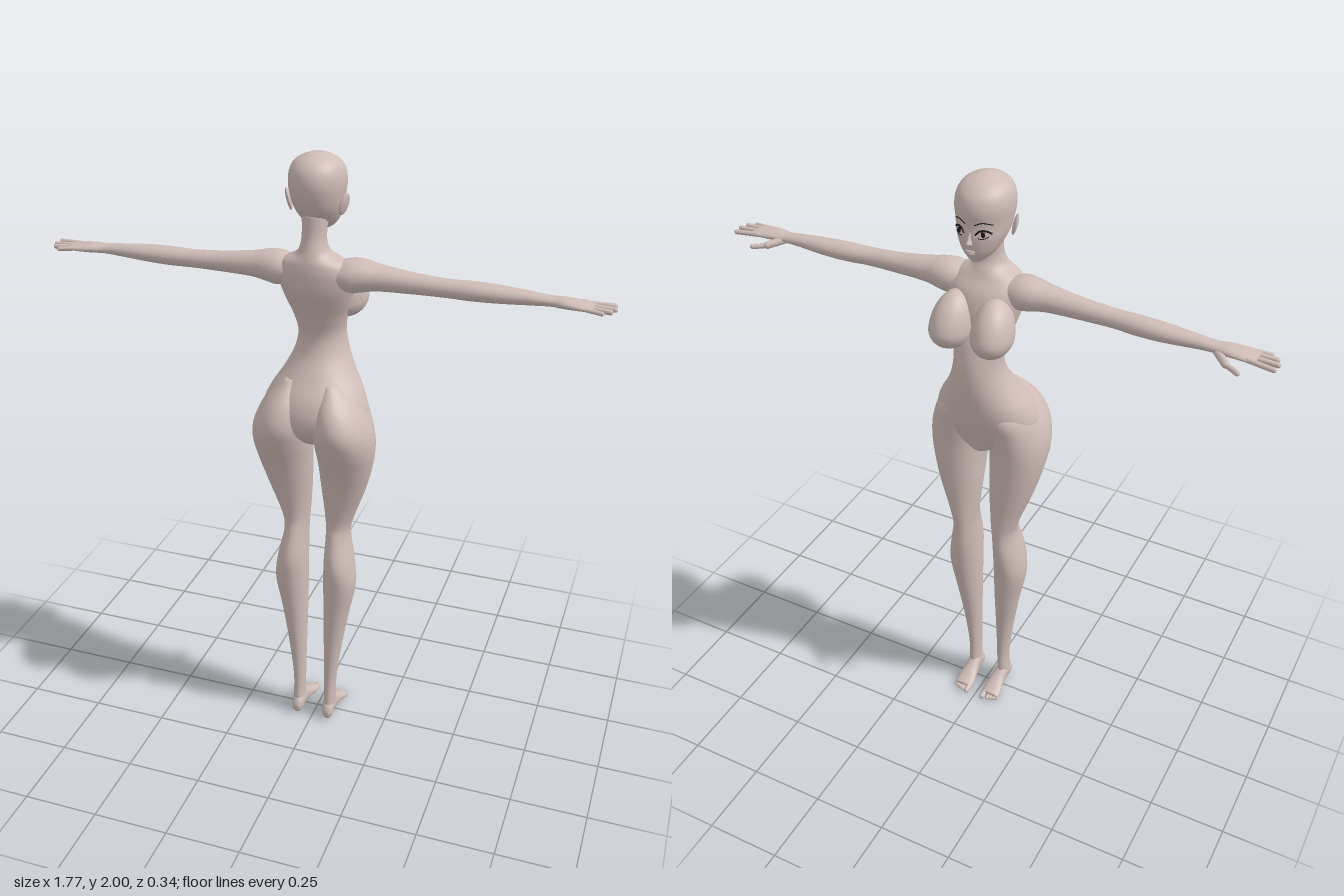
import * as THREE from 'three';

const skin = new THREE.MeshStandardMaterial({ color: 0xcfbdb7 });
skin.name = 'skin';
const dark = new THREE.MeshStandardMaterial({ color: 0x1a1718 });
dark.name = 'dark lashes';

// Smooth value between section rows
function sample(rows, u) {
  const i = Math.min(Math.floor(u), rows.length - 2), t = u - i;
  const at = (k) => rows[Math.max(0, Math.min(rows.length - 1, k))];
  return rows[i].map((_, c) => {
    const p0 = at(i - 1)[c], p1 = at(i)[c], p2 = at(i + 1)[c], p3 = at(i + 2)[c];
    return p1 + 0.5 * t * (p2 - p0 + t * (2 * p0 - 5 * p1 + 4 * p2 - p3 + t * (3 * (p1 - p2) + p3 - p0)));
  });
}

// Closed skin over oval sections [t, a0, a1, b0, b1]; place(t, a, b) gives xyz
function loft(rows, place, sides = 36, steps = 5, power = 1) {
  const pos = [], idx = [], n = (rows.length - 1) * steps;
  const bend = (v) => Math.sign(v) * Math.abs(v) ** power;
  for (let j = 0; j <= n; j++) {
    const [t, a0, a1, b0, b1] = sample(rows, j / steps);
    for (let i = 0; i < sides; i++) {
      const w = (i / sides) * Math.PI * 2;
      pos.push(...place(t, (a0 + a1) / 2 + bend(Math.cos(w)) * (a1 - a0) / 2,
        (b0 + b1) / 2 + bend(Math.sin(w)) * (b1 - b0) / 2));
    }
  }
  for (let j = 0; j < n; j++) for (let i = 0; i < sides; i++) {
    const a = j * sides + i, b = j * sides + (i + 1) % sides;
    idx.push(a, a + sides, b, b, a + sides, b + sides);
  }
  for (const j of [0, n]) {
    const [t, a0, a1, b0, b1] = rows[j / steps], c = pos.length / 3;
    pos.push(...place(t, (a0 + a1) / 2, (b0 + b1) / 2));
    for (let i = 0; i < sides; i++) {
      const a = j * sides + i, b = j * sides + (i + 1) % sides;
      if (j) idx.push(a, c, b); else idx.push(a, b, c);
    }
  }
  // Turn faces outwards when the enclosed volume is negative
  const p = (k) => new THREE.Vector3().fromArray(pos, k * 3);
  let volume = 0;
  for (let k = 0; k < idx.length; k += 3) volume += p(idx[k]).dot(p(idx[k + 1]).cross(p(idx[k + 2])));
  if (volume < 0) idx.reverse();
  const g = new THREE.BufferGeometry();
  g.setAttribute('position', new THREE.Float32BufferAttribute(pos, 3));
  g.setIndex(idx);
  g.computeVertexNormals();
  return g;
}

// Rounded rod between two points
function rod(a, b, r) {
  const A = new THREE.Vector3(...a), B = new THREE.Vector3(...b), d = B.clone().sub(A);
  const g = new THREE.CapsuleGeometry(r, d.length(), 5, 12);
  g.applyQuaternion(new THREE.Quaternion().setFromUnitVectors(new THREE.Vector3(0, 1, 0), d.normalize()));
  return g.translate(...A.add(B).multiplyScalar(0.5).toArray());
}

const ball = (x, y, z, rx, ry, rz) =>
  new THREE.SphereGeometry(1, 32, 22).scale(rx, ry, rz).translate(x, y, z);

const torsoRows = [ // y, -x, x, front z, back z
  [1.08, .02, -.05, .03], [1.10, .06, -.07, .08], [1.15, .15, -.086, .13], [1.20, .17, -.104, .142],
  [1.26, .15, -.12, .125], [1.32, .113, -.13, .083], [1.38, .085, -.134, .045], [1.44, .074, -.13, .033],
  [1.50, .084, -.115, .05], [1.55, .1, -.095, .07], [1.60, .114, -.088, .09], [1.65, .122, -.07, .095],
  [1.685, .1, -.043, .092], [1.71, .056, -.028, .085], [1.735, .041, -.014, .076], [1.77, .037, -.01, .066],
  [1.83, .04, -.02, .06],
].map(([y, w, f, b]) => [y, -w, w, f, b]);

const headRows = [
  [1.762, .012, -.08, -.05], [1.775, .034, -.087, 0], [1.80, .055, -.098, .035], [1.84, .073, -.104, .072],
  [1.88, .081, -.1, .09], [1.92, .085, -.103, .097], [1.955, .079, -.092, .09], [1.98, .061, -.066, .07],
  [1.995, .03, -.032, .04], [2.0, .006, 0, .012],
].map(([y, w, f, b]) => [y, -w, w, f, b]);

const legRows = [ // y, inner x, outer x, front z, back z
  [1.31, .035, .09, -.06, .08], [1.24, .012, .152, -.095, .145], [1.17, .005, .186, -.086, .168],
  [1.10, .008, .198, -.078, .148], [1.02, .014, .188, -.075, .113], [.92, .019, .162, -.073, .08],
  [.80, .03, .12, -.07, .056], [.74, .034, .111, -.067, .066], [.65, .032, .128, -.062, .09],
  [.56, .03, .138, -.05, .084], [.44, .031, .117, -.035, .071], [.30, .033, .094, -.016, .062],
  [.16, .036, .077, -.005, .058], [.08, .037, .076, -.005, .061], [.03, .036, .076, 0, .066],
];

const footRows = [ // z, inner x, outer x, bottom y, top y
  [.074, .047, .065, .018, .04], [.06, .037, .075, .003, .065], [.02, .034, .077, .003, .09],
  [-.02, .027, .081, .007, .06], [-.055, .021, .087, .002, .038], [-.082, .023, .086, .002, .024],
];

const armRows = [ // x, bottom y, top y, front z, back z
  [.06, 1.62, 1.685, -.03, .07], [.11, 1.597, 1.699, -.045, .076], [.15, 1.602, 1.698, -.043, .07],
  [.20, 1.61, 1.688, -.031, .058], [.30, 1.612, 1.675, -.022, .046], [.40, 1.613, 1.668, -.02, .042],
  [.47, 1.611, 1.668, -.026, .042], [.55, 1.613, 1.665, -.028, .039], [.65, 1.619, 1.657, -.02, .03],
  [.70, 1.622, 1.652, -.02, .028], [.74, 1.622, 1.652, -.025, .038], [.79, 1.624, 1.646, -.028, .044],
  [.82, 1.627, 1.641, -.024, .042],
];

// Depth of the face surface at a point
function faceZ(x, y) {
  let u = 0;
  while (u < headRows.length - 1 && sample(headRows, u)[0] < y) u += 0.02;
  const [, , w, f, b] = sample(headRows, u);
  return (f + b) / 2 - (b - f) / 2 * Math.sqrt(Math.max(0, 1 - (x / w) ** 2));
}

// Fine line lying on the face
function faceLine(points, s, r) {
  const curve = new THREE.CatmullRomCurve3(points.map(([x, y]) => new THREE.Vector3(s * x, y, faceZ(x, y))));
  return new THREE.TubeGeometry(curve, 16, r, 6);
}

export function createModel() {
  const model = new THREE.Group();
  model.name = 'figure';
  const add = (name, geometry, material = skin) => {
    const m = new THREE.Mesh(geometry, material);
    m.name = name;
    model.add(m);
  };
  const upright = (y, x, z) => [x, y, z];

  add('torso', loft(torsoRows, upright, 48));
  add('head', loft(headRows, upright, 40));

  // Nose and lips
  add('nose', loft([[1.868, -.004, .004, -.1, -.09], [1.845, -.006, .006, -.111, -.09],
    [1.832, -.009, .009, -.119, -.09], [1.822, -.008, .008, -.106, -.09]], upright, 16));
  add('upperLip', ball(0, 1.804, -.098, .015, .004, .006));
  add('lowerLip', ball(0, 1.797, -.096, .012, .0045, .006));

  for (const s of [1, -1]) {
    const side = s > 0 ? 'left' : 'right';
    const sideways = (x, y, z) => [s * x, y, z];

    // Ear, tilted outward
    add(side + 'Ear', ball(0, 0, 0, .007, .034, .02).rotateY(s * -.4).rotateZ(s * -.25)
      .translate(s * .085, 1.858, .012));

    // Lashes, iris and brow
    add(side + 'UpperLash', faceLine([[.017, 1.858], [.027, 1.869], [.042, 1.87], [.056, 1.86]], s, .0032), dark);
    add(side + 'LowerLash', faceLine([[.024, 1.849], [.036, 1.846], [.05, 1.852]], s, .0014), dark);
    add(side + 'Iris', ball(s * .036, 1.859, faceZ(.036, 1.859), .007, .009, .003), dark);
    add(side + 'Brow', faceLine([[.014, 1.886], [.034, 1.894], [.058, 1.886]], s, .0018), dark);

    // Chest form, drawn out toward the collar
    const chest = ball(0, 0, 0, .064, .066, .083), p = chest.attributes.position;
    for (let i = 0; i < p.count; i++) {
      const y = p.getY(i);
      if (y > 0) {
        p.setY(i, y * 1.6);
        p.setZ(i, p.getZ(i) + y * .35);
      }
    }
    chest.computeVertexNormals();
    add(side + 'Chest', chest.rotateY(s * -.12).translate(s * .066, 1.545, -.09));

    // Arm and hand
    add(side + 'Arm', loft(armRows, sideways, 28));
    [[-.019, -.029, .872], [.001, 0, .876], [.02, .024, .866], [.036, .043, .845]].forEach(([z0, z1, x], i) =>
      add(side + 'Finger' + (i + 1), rod([s * .795, 1.635, z0], [s * x, 1.631, z1], i === 3 ? .0065 : .0078)));
    add(side + 'ThumbBase', rod([s * .705, 1.632, -.006], [s * .745, 1.622, -.045], .012));
    add(side + 'Thumb', rod([s * .745, 1.621, -.045], [s * .785, 1.618, -.068], .0082));

    // Leg and foot
    add(side + 'Leg', loft(legRows, (y, x, z) => [s * x, y, z], 36));
    add(side + 'Foot', loft(footRows, (z, x, y) => [s * x, y, z], 28));
    for (let i = 0; i < 5; i++) {
      const r = i ? .0066 : .0095, x = i ? .04 + i * .0105 : .032;
      add(side + 'Toe' + (i + 1), rod([s * x, r + .005, -.07], [s * x, r + .001, -.097 + i * .004], r));
    }
  }
  return model;
}
